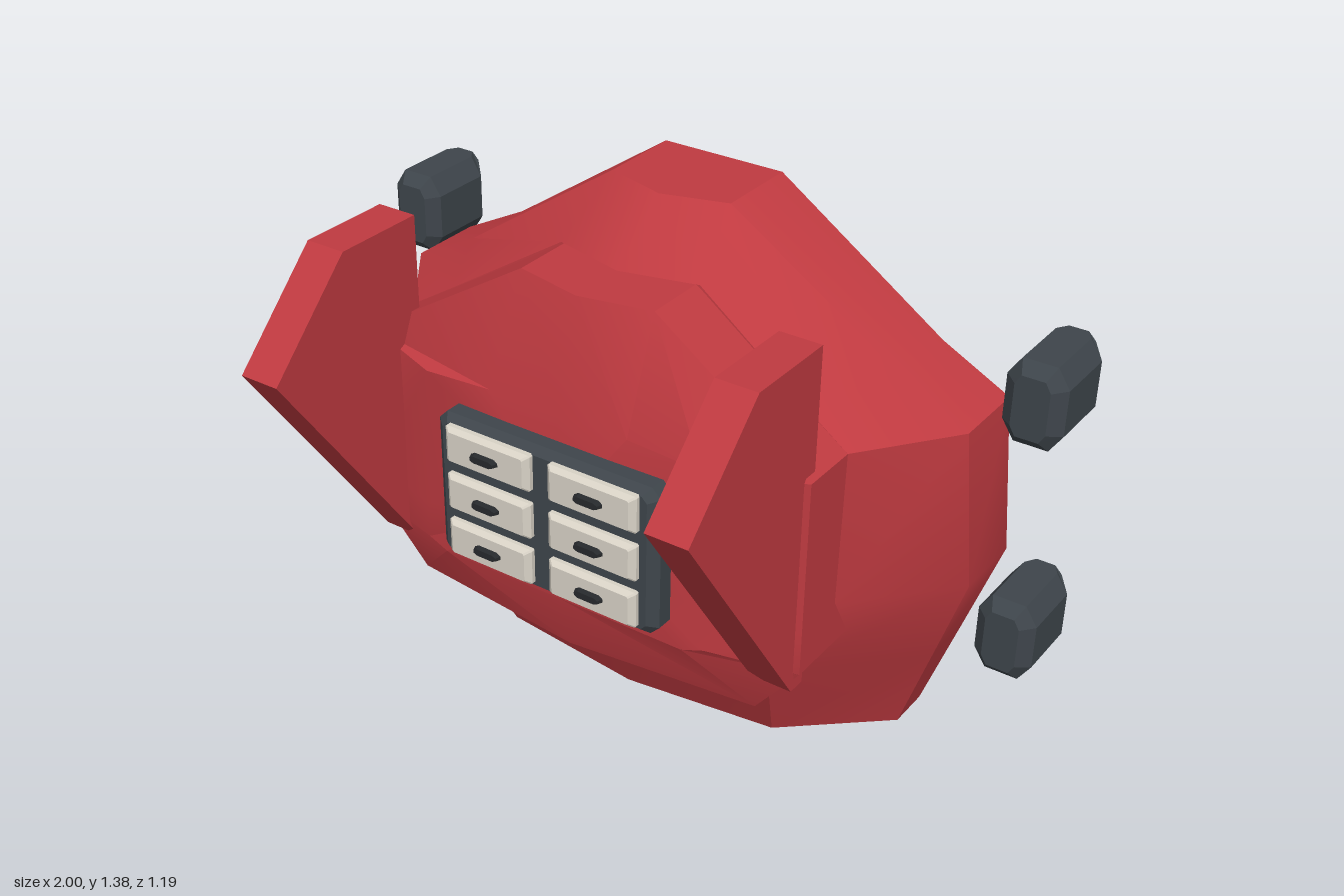
import * as THREE from 'three';
import { toCreasedNormals } from 'three/addons/utils/BufferGeometryUtils.js';

const mat = (name, color) => {
  const m = new THREE.MeshStandardMaterial({ color });
  m.name = name;
  return m;
};

// Full ring from its +x half (listed top to bottom), mirrored in x
const mirrorRing = (half) => [
  ...half,
  ...half.filter((p) => p[0] > 1e-6).reverse().map(([x, y, z]) => [-x, y, z]),
];

// Skin between rings listed back to front, closed by fans around two cap centres
function loft(halves, backCentre, frontCentre, crease) {
  const rings = halves.map(mirrorRing);
  const n = rings[0].length, out = [];
  const tri = (...pts) => pts.forEach((p) => out.push(...p));
  for (let i = 0; i < n; i++) {
    const j = (i + 1) % n;
    for (let k = 0; k + 1 < rings.length; k++) {
      const a = rings[k], b = rings[k + 1];
      tri(a[i], b[i], b[j]);
      tri(a[i], b[j], a[j]);
    }
    const first = rings[0], last = rings[rings.length - 1];
    tri(backCentre, first[i], first[j]);
    tri(frontCentre, last[j], last[i]);
  }
  const g = new THREE.BufferGeometry();
  g.setAttribute('position', new THREE.Float32BufferAttribute(out, 3));
  return toCreasedNormals(g, crease);
}

// Block with cut corners: each section is [z, half width, half height, x cut, y cut]
function chamferBlock(sections) {
  const rings = sections.map(([z, w, h, cx, cy]) => [
    [w - cx, h, z], [w, h - cy, z], [w, cy - h, z], [w - cx, -h, z],
  ]);
  return loft(rings, [0, 0, sections[0][0]], [0, 0, sections[sections.length - 1][0]], 0.1);
}

export function createModel() {
  const model = new THREE.Group();
  const red = mat('red', 0xbf3a40);
  const slate = mat('slate', 0x3e454b);
  const cream = mat('cream', 0xd8d2c6);
  const black = mat('black', 0x26292c);

  const add = (name, geometry, material, x = 0, y = 0, z = 0) => {
    const mesh = new THREE.Mesh(geometry, material);
    mesh.name = name;
    mesh.position.set(x, y, z);
    model.add(mesh);
    return mesh;
  };

  // Main hull: flat back, straight rim, then tapering to the front
  const rim = [
    [0, 1.375, -0.2], [0.17, 1.375, -0.25], [0.635, 1.06, -0.27], [0.82, 0.965, -0.27],
    [0.86, 0.55, -0.28], [0.767, 0.28, -0.32], [0.67, 0, -0.36], [0, 0, -0.36],
  ];
  const back = rim.map(([x, y]) => [x, y, -0.48]);
  const neck = [
    [0, 1.24, -0.03], [0.2, 1.24, -0.08], [0.52, 1.04, -0.04], [0.64, 0.965, -0.03],
    [0.635, 0.55, -0.03], [0.48, 0.28, 0], [0.42, 0, -0.14], [0, 0, -0.09],
  ];
  add('hull', loft([back, rim, neck], [0, 0.6, -0.48], [0, 0.28, 0.05], 0.45), red);

  // Front block with a gently domed face
  const blockBack = [
    [0, 1.24, -0.03], [0.19, 1.24, -0.08], [0.64, 0.965, -0.03], [0.64, 0.56, -0.02],
    [0.64, 0.44, -0.09], [0.515, 0.28, -0.06], [0, 0.28, -0.06],
  ];
  const blockEdge = [0.13, 0.09, 0.13, 0.13, 0.13, 0.115, 0.17]
    .map((z, i) => [blockBack[i][0], blockBack[i][1], z]);
  const blockFace = [
    [0, 0.965, 0.21], [0.2, 0.965, 0.21], [0.4, 0.95, 0.205], [0.42, 0.56, 0.205],
    [0.42, 0.46, 0.205], [0.36, 0.44, 0.21], [0, 0.44, 0.21],
  ];
  add('frontBlock',
    loft([blockBack, blockEdge, blockFace], [0, 0.7, -0.04], [0, 0.7, 0.212], 0.45), red);

  // Side fins: pointed profile drawn in (z, y), extruded across x
  const finShape = new THREE.Shape(
    [[0.09, 1.29], [0.345, 1.29], [0.597, 1.04], [0.14, 0.39], [0.09, 0.39]]
      .map(([z, y]) => new THREE.Vector2(-z, y)));
  const finGeo = new THREE.ExtrudeGeometry(finShape, { depth: 0.11, bevelEnabled: false });
  finGeo.translate(0, 0, -0.055).rotateY(Math.PI / 2);

  // Corner pads, chamfered more at the front than at the back
  const padGeo = chamferBlock([
    [-0.595, 0.045, 0.11, 0.02, 0.02],
    [-0.565, 0.0775, 0.11, 0.033, 0.05],
    [-0.39, 0.0775, 0.11, 0.033, 0.05],
    [-0.36, 0.045, 0.08, 0.015, 0.025],
  ]);

  for (const [side, s] of [['left', 1], ['right', -1]]) {
    add(side + 'Fin', finGeo, red, s * 0.57);
    add(side + 'UpperPad', padGeo, slate, s * 0.9225, 1.02);
    add(side + 'LowerPad', padGeo, slate, s * 0.9225, 0.36);
  }

  // Drawer cabinet on the front face
  add('cabinet', chamferBlock([
    [0.18, 0.325, 0.203, 0.025, 0.025],
    [0.25, 0.325, 0.203, 0.025, 0.025],
    [0.272, 0.3, 0.185, 0.015, 0.015],
  ]), slate, 0, 0.69);

  const drawerGeo = chamferBlock([
    [0.265, 0.127, 0.05, 0.004, 0.004],
    [0.283, 0.127, 0.05, 0.004, 0.004],
    [0.296, 0.112, 0.04, 0.004, 0.004],
  ]);
  const handleGeo = chamferBlock([
    [0.29, 0.042, 0.013, 0.012, 0.008],
    [0.31, 0.034, 0.009, 0.01, 0.005],
  ]);
  for (const x of [-0.153, 0.153]) {
    for (const y of [0.827, 0.694, 0.562]) {
      add('drawer', drawerGeo, cream, x, y);
      add('drawerHandle', handleGeo, black, x, y);
    }
  }
  return model;
}
